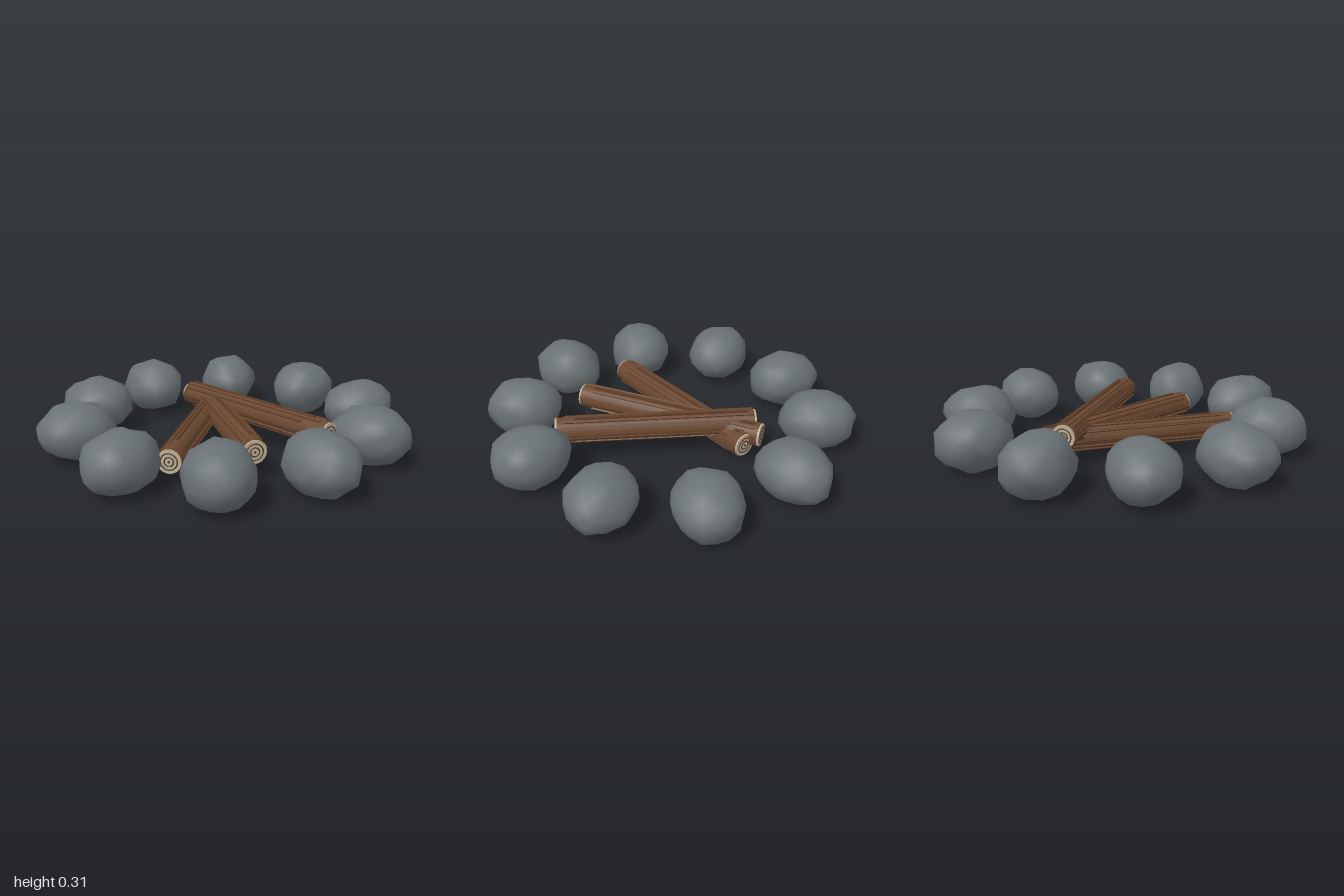
import * as THREE from 'three';
import { mergeVertices } from 'three/addons/utils/BufferGeometryUtils.js';

const mat = (color, extra = {}) => new THREE.MeshStandardMaterial({ color, ...extra });
const STONE = mat(0x697174);
const BARK = mat(0x6b4830);
const RIDGE = mat(0x5c3d28);
const WOOD = mat(0xbcae94);
const RING = mat(0x4d3c2c);

// Small seeded generator
function seeded(seed) {
  let s = seed;
  return () => {
    s = (s * 16807) % 2147483647;
    return s / 2147483647;
  };
}

// Lumpy stone: a dented sphere fitted to the given half sizes
function makeStone(seed, hx, hy, hz) {
  const rnd = seeded(seed * 7919 + 13);
  let geo = new THREE.IcosahedronGeometry(1, 2);
  geo.deleteAttribute('normal');
  geo.deleteAttribute('uv');
  geo = mergeVertices(geo, 1e-3);
  geo.rotateY(rnd() * 6).rotateX(rnd() * 6);
  const pos = geo.attributes.position;
  const v = new THREE.Vector3();
  for (let i = 0; i < pos.count; i++) {
    v.fromBufferAttribute(pos, i).multiplyScalar(0.94 + 0.12 * rnd());
    pos.setXYZ(i, v.x, v.y, v.z);
  }
  geo.center();
  const b = geo.boundingBox;
  geo.scale(hx / b.max.x, hy / b.max.y, hz / b.max.z);
  geo.computeVertexNormals();
  return new THREE.Mesh(geo, STONE);
}

// Log along z with raised bark strips and growth rings on both ends
function makeLog(name, seed) {
  const rnd = seeded(seed * 104729 + 5);
  const log = new THREE.Group();
  log.name = name;
  const add = (part, geo, material) => {
    const m = new THREE.Mesh(geo, material);
    m.name = part;
    log.add(m);
    return m;
  };
  const half = 0.515;
  add('trunk', new THREE.CylinderGeometry(0.064, 0.064, half * 2, 16).rotateX(Math.PI / 2), BARK);

  const strips = 14;
  for (let i = 0; i < strips; i++) {
    const a = ((i + 0.3 * rnd()) / strips) * Math.PI * 2;
    const length = 0.86 + 0.16 * rnd();
    const width = 0.011 + 0.009 * rnd();
    const strip = add('barkStrip', new THREE.BoxGeometry(width, 0.014, length), i % 2 ? BARK : RIDGE);
    strip.position.set(Math.sin(a) * 0.064, Math.cos(a) * 0.064, (rnd() - 0.5) * (1.03 - length));
    strip.rotation.z = -a;
  }

  for (const side of [1, -1]) {
    const end = new THREE.Group();
    end.name = side > 0 ? 'frontEnd' : 'backEnd';
    if (side < 0) end.rotation.y = Math.PI;
    end.position.z = side * half;
    const disc = new THREE.Mesh(new THREE.CylinderGeometry(0.061, 0.061, 0.02, 20).rotateX(Math.PI / 2), WOOD);
    disc.name = 'cutFace';
    end.add(disc);
    for (const r of [0.042, 0.023]) {
      const ring = new THREE.Mesh(new THREE.TorusGeometry(r, 0.0035, 6, 24), RING);
      ring.name = 'growthRing';
      ring.position.z = 0.01;
      end.add(ring);
    }
    const core = new THREE.Mesh(new THREE.CylinderGeometry(0.006, 0.006, 0.006, 10).rotateX(Math.PI / 2), RING);
    core.name = 'heart';
    core.position.z = 0.01;
    end.add(core);
    log.add(end);
  }
  return log;
}

export function createModel() {
  const model = new THREE.Group();
  model.name = 'campfire';

  // Ring of ten stones, each longest along its radius
  const ring = new THREE.Group();
  ring.name = 'stoneRing';
  for (let i = 0; i < 10; i++) {
    const a = (i / 10) * Math.PI * 2;
    const stone = makeStone(i + 1, 0.203, 0.155, 0.172);
    stone.name = `stone${i + 1}`;
    stone.position.set(Math.cos(a) * 0.797, 0.165, -Math.sin(a) * 0.797);
    stone.rotation.y = a;
    ring.add(stone);
  }
  model.add(ring);

  // Three logs fanning out toward the front, stacked slightly at the back
  const logs = [
    ['centreLog', 0, 0.16, 0],
    ['leftLog', 0.168, 0.188, 0.49],
    ['rightLog', -0.163, 0.132, -0.49],
  ];
  logs.forEach(([name, x, y, turn], i) => {
    const log = makeLog(name, i + 1);
    log.position.set(x, y, 0);
    log.rotation.y = turn;
    model.add(log);
  });
  return model;
}
